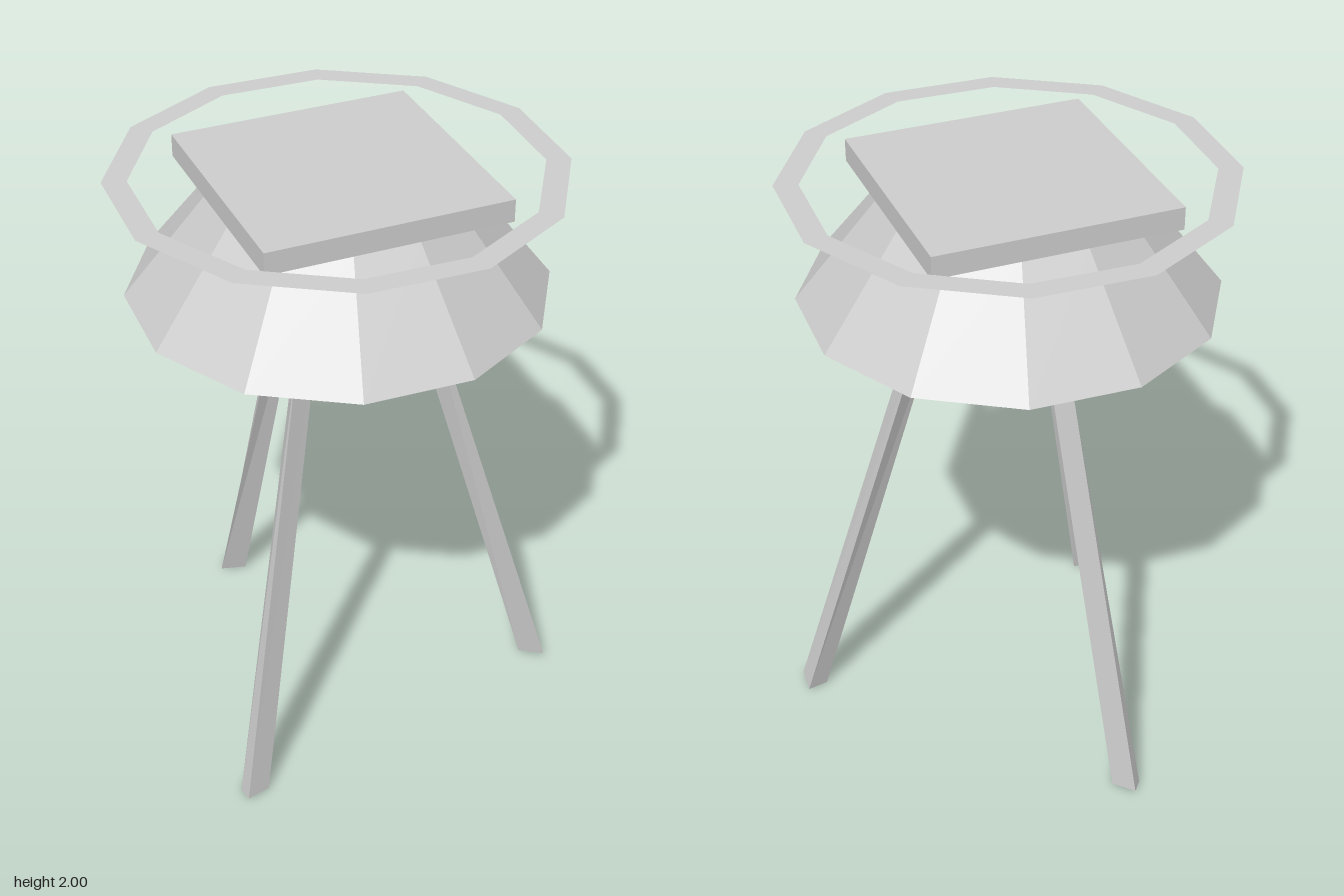
import * as THREE from 'three';

// Triangular leg lofted between two 3-point sections, counter-clockwise from above
function legGeometry(bottom, top) {
  const tris = [bottom[2], bottom[1], bottom[0], top[0], top[1], top[2]];
  for (let i = 0; i < 3; i++) {
    const j = (i + 1) % 3;
    tris.push(bottom[i], bottom[j], top[j], bottom[i], top[j], top[i]);
  }
  const g = new THREE.BufferGeometry();
  g.setAttribute('position', new THREE.Float32BufferAttribute(tris.flat(), 3));
  g.computeVertexNormals();
  return g;
}

// Mirror a section front to back, keeping its winding
const mirrorZ = (pts) => pts.map(([x, y, z]) => [x, y, -z]).reverse();

export function createModel() {
  const model = new THREE.Group();
  const grey = new THREE.MeshStandardMaterial({
    name: 'lightGrey', color: 0xcccccc, flatShading: true, side: THREE.DoubleSide,
  });
  const cx = -0.015; // axis of the body

  const add = (name, geometry, x = 0, y = 0) => {
    const mesh = new THREE.Mesh(geometry, grey);
    mesh.name = name;
    mesh.position.set(x, y, 0);
    model.add(mesh);
    return mesh;
  };

  // Twelve-sided tapered body
  add('body', new THREE.CylinderGeometry(0.4, 0.665, 0.335, 12), cx, 1.7605);

  // Square slab on top, turned slightly
  const slab = add('topSlab', new THREE.BoxGeometry(0.783, 0.073, 0.783), cx, 1.9635);
  slab.rotation.y = THREE.MathUtils.degToRad(16.9);

  // Flat floating ring around the slab
  add('ring', new THREE.RingGeometry(0.63, 0.707, 12).rotateX(-Math.PI / 2), cx, 1.985);

  // Side leg
  add('leftLeg', legGeometry(
    [[0.72, 0.016, 0.045], [0.7, 0.011, -0.045], [0.638, 0, 0]],
    [[0.243, 1.6, 0.045], [0.228, 1.598, -0.045], [0.184, 1.583, 0]],
  ));

  // Slightly twisted front and back legs
  const foot = [[-0.405, 0, 0.577], [-0.384, 0.014, 0.635], [-0.314, 0, 0.58]];
  const head = [[-0.153, 1.6, 0.165], [-0.155, 1.6, 0.242], [-0.093, 1.6, 0.19]];
  add('frontLeg', legGeometry(foot, head));
  add('backLeg', legGeometry(mirrorZ(foot), mirrorZ(head)));

  return model;
}
